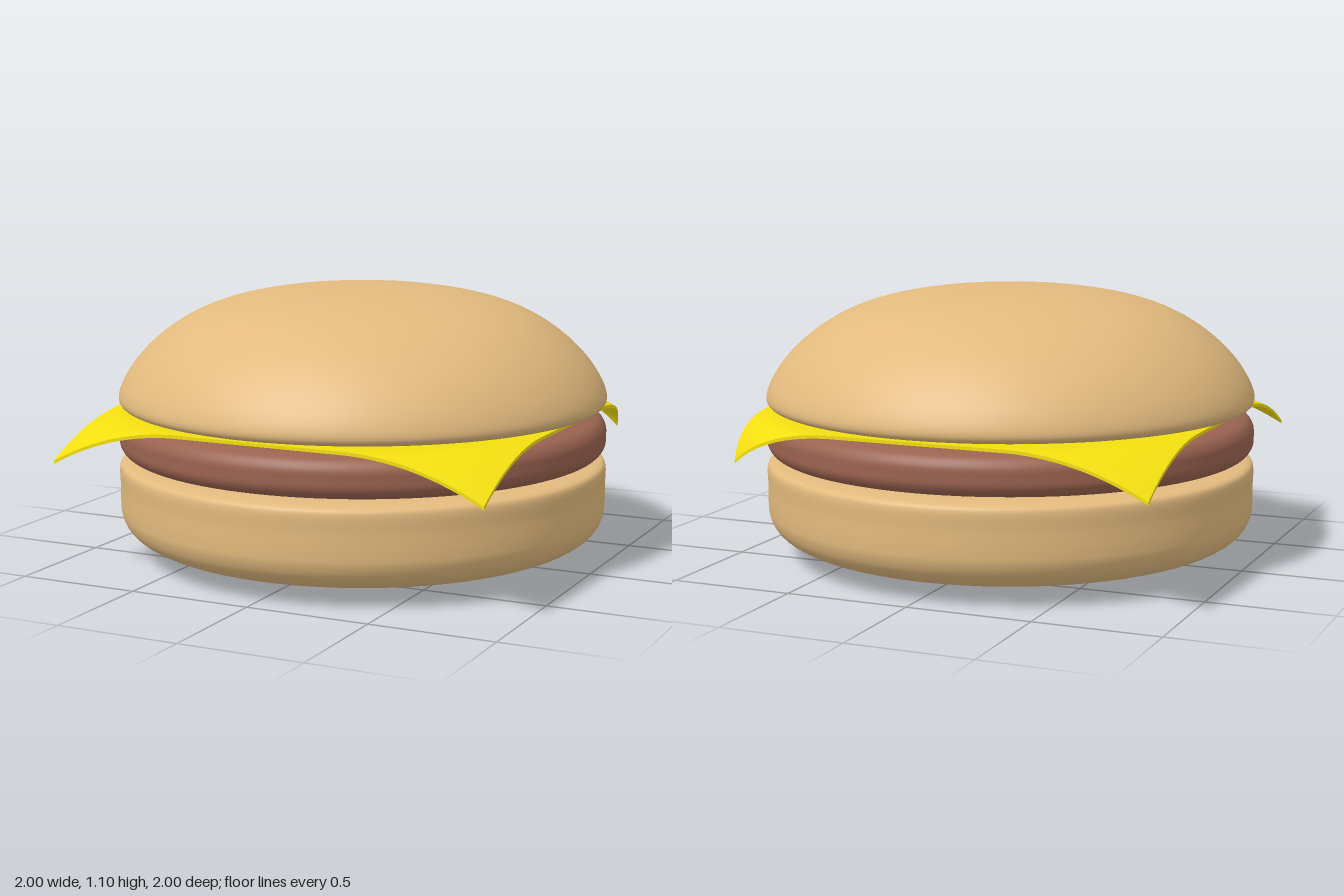
import * as THREE from 'three';

const BUN = 0xe2ba7e, PATTY = 0x9a6350, CHEESE = 0xf2de10;

// Solid of revolution through a few [radius, height] points, bottom to top
function turned(name, color, profile) {
  const curve = new THREE.CatmullRomCurve3(
    profile.map(([r, y]) => new THREE.Vector3(r, y, 0)), false, 'centripetal');
  const points = curve.getPoints(72).map(p => new THREE.Vector2(Math.max(p.x, 0), p.y));
  const mesh = new THREE.Mesh(new THREE.LatheGeometry(points, 96),
    new THREE.MeshStandardMaterial({ color }));
  mesh.name = name;
  return mesh;
}

// Thin square slice whose corners droop beyond the patty; one corner curls inward
function cheeseSlice() {
  const half = 0.91, start = 0.98, reach = half * Math.SQRT2 - start;
  const geometry = new THREE.BoxGeometry(2 * half, 0.013, 2 * half, 64, 1, 64);
  const pos = geometry.attributes.position;
  for (let i = 0; i < pos.count; i++) {
    const x = pos.getX(i), y = pos.getY(i), z = pos.getZ(i);
    const t = Math.max(0, Math.hypot(x, z) - start) / reach;
    const bend = Math.pow(t, 1.6);
    const curl = x > 0 && z < 0 ? bend : 0;
    pos.setXYZ(i, x - 0.075 * curl, y + 0.599 - 0.148 * bend, z + 0.1 * curl);
  }
  geometry.computeVertexNormals();
  const mesh = new THREE.Mesh(geometry,
    new THREE.MeshStandardMaterial({ color: CHEESE, side: THREE.DoubleSide }));
  mesh.name = 'cheeseSlice';
  return mesh;
}

export function createModel() {
  const burger = new THREE.Group();
  burger.name = 'burger';
  burger.add(
    turned('bottomBun', BUN, [
      [0, 0], [0.3, 0.006], [0.6, 0.022], [0.8, 0.048], [0.91, 0.08], [0.97, 0.125],
      [0.995, 0.175], [1, 0.22], [1, 0.3], [1, 0.375], [0.99, 0.392], [0.95, 0.402],
      [0.85, 0.406], [0, 0.408],
    ]),
    turned('patty', PATTY, [
      [0, 0.412], [0.85, 0.415], [0.93, 0.419], [0.975, 0.435], [0.997, 0.465], [1, 0.503],
      [0.997, 0.54], [0.975, 0.571], [0.93, 0.586], [0.85, 0.59], [0, 0.592],
    ]),
    cheeseSlice(),
    turned('topBun', BUN, [
      [0, 0.61], [0.8, 0.613], [0.92, 0.619], [0.985, 0.63], [1, 0.652], [0.988, 0.705],
      [0.93, 0.8], [0.83, 0.9], [0.7, 0.985], [0.55, 1.043], [0.37, 1.08], [0.18, 1.098], [0, 1.102],
    ]),
  );
  return burger;
}
